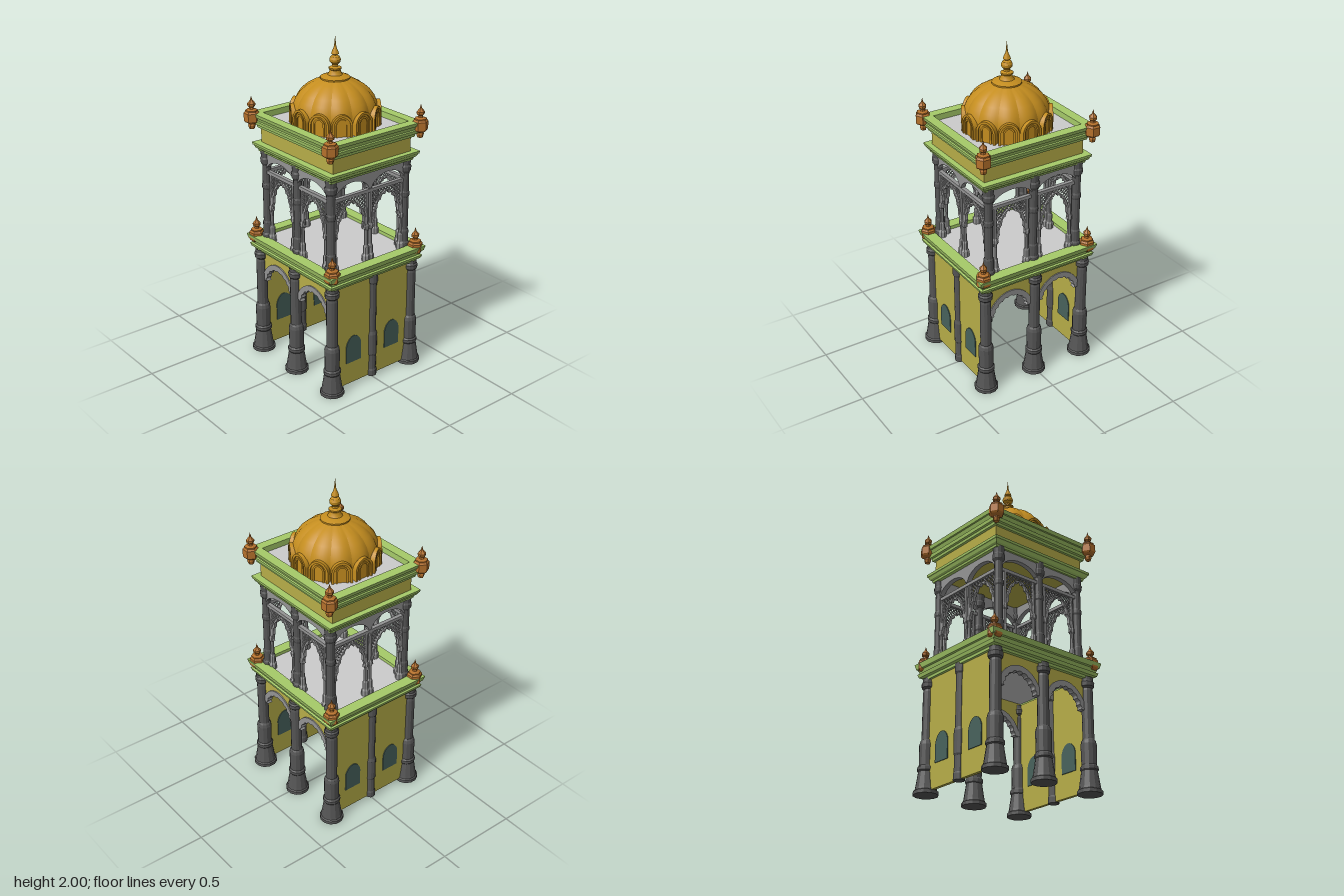
import * as THREE from 'three';
import { mergeGeometries, toCreasedNormals } from 'three/addons/utils/BufferGeometryUtils.js';

const mat = (color, flatShading = true) =>
  new THREE.MeshStandardMaterial({ color, flatShading, side: THREE.DoubleSide });
const GREY = mat(0xcccccc), DARK = mat(0x555555), SCREEN = mat(0x949494), GREEN = mat(0xa6cb69),
  YELLOW = mat(0xb6ad48), GOLD = mat(0xc48d1f, false), ORANGE = mat(0xb5712c), TEAL = mat(0x48625c);

function add(parent, name, geo, material, x = 0, y = 0, z = 0, ry = 0) {
  const m = new THREE.Mesh(geo, material);
  m.name = name;
  m.position.set(x, y, z);
  m.rotation.y = ry;
  parent.add(m);
  return m;
}
const box = (w, h, d) => new THREE.BoxGeometry(w, h, d);
const lathe = (pts, sides, start = 0) =>
  new THREE.LatheGeometry(pts.map(([r, y]) => new THREE.Vector2(r, y)), sides, start);

// Moulding profile swept round a rectangle: a four-sided lathe pulled apart to its inner half sizes
function moulding(profile, hx, hz) {
  const g = lathe(profile.map(([o, y]) => [(o + 0.001) * Math.SQRT2, y]), 4, Math.PI / 4).toNonIndexed();
  const p = g.attributes.position;
  for (let i = 0; i < p.count; i++) {
    p.setX(i, p.getX(i) + Math.sign(p.getX(i)) * hx);
    p.setZ(i, p.getZ(i) + Math.sign(p.getZ(i)) * hz);
  }
  g.computeVertexNormals();
  return g;
}

// Arch outline from left to right, with optional lobes cut into it
function arch(w, h, y0, lobes = 0, depth = 0) {
  const pts = [], n = lobes ? lobes * 6 : 20;
  for (let i = 0; i <= n; i++) {
    const a = Math.PI * (1 - i / n), k = 1 + depth * Math.abs(Math.sin(lobes * a));
    pts.push(new THREE.Vector2(w * k * Math.cos(a), y0 + h * k * Math.pow(Math.max(0, Math.sin(a)), 1.2)));
  }
  return pts;
}
function plate(pts, depth) {
  const g = new THREE.ExtrudeGeometry(new THREE.Shape(pts), { depth, bevelEnabled: false });
  return g.translate(0, 0, -depth / 2);
}
const spandrel = (hw, top, w, h, y0, depth) => plate([
  new THREE.Vector2(hw, top), new THREE.Vector2(-hw, top), new THREE.Vector2(-hw, y0),
  ...arch(w, h, y0), new THREE.Vector2(hw, y0)], depth);
const archBand = (w, h, y0, t, lobes, depth) =>
  plate([...arch(w, h, y0), ...arch(w - t, h - t, y0, lobes, 0.08).reverse()], depth);

// Diagonal lattice filling the space between an arch and the rail above
function lattice(hw, h, y0, top) {
  const bars = [];
  const inside = (x, y) => Math.abs(x) < hw && y > y0 + h * Math.pow(1 - (x / hw) ** 2, 0.6);
  for (const s of [-1, 1]) for (let x0 = -hw - 0.2; x0 < hw + 0.2; x0 += 0.024) {
    let a = -1, b = -1;
    for (let u = 0; u < 0.25; u += 0.002) {
      if (inside(x0 + s * u, top - u)) { if (a < 0) a = u; b = u; }
      else if (a >= 0) break;
    }
    if (b - a < 0.008) continue;
    const g = box((b - a) * Math.SQRT2, 0.005, 0.006).rotateZ(-s * Math.PI / 4);
    bars.push(g.translate(x0 + s * (a + b) / 2, top - (a + b) / 2, 0));
  }
  return mergeGeometries(bars);
}

// One open bay of the upper storey, facing z
function screenBay(hw, plateHalf) {
  const g = new THREE.Group();
  g.name = 'screenBay';
  const post = lathe([[0.024, 0.75], [0.024, 0.785], [0.017, 0.795], [0.017, 0.84], [0.011, 0.85],
    [0.011, 0.94], [0.017, 0.95], [0.017, 0.97], [0.011, 0.98], [0.011, 1.18]], 8);
  for (const s of [-1, 1]) add(g, 'screenPost', post, SCREEN, s * hw, 0, 0);
  add(g, 'rail', box(plateHalf * 2, 0.02, 0.024), SCREEN, 0, 1.18, 0);
  add(g, 'lattice', lattice(hw, 0.2, 0.95, 1.175), SCREEN);
  add(g, 'screenArch', archBand(hw, 0.2, 0.95, 0.02, 9, 0.018), SCREEN);
  add(g, 'archPlate', spandrel(plateHalf, 1.31, plateHalf - 0.015, 0.07, 1.195, 0.03), SCREEN);
  return g;
}

export function createModel() {
  const model = new THREE.Group();
  model.name = 'domedPavilion';
  const signs = [-1, 1];

  // Ground storey: six columns and two half-buried side columns
  const column = lathe([[0, 0], [0.071, 0], [0.071, 0.02], [0.063, 0.025], [0.06, 0.04], [0.046, 0.13],
    [0.051, 0.137], [0.051, 0.155], [0.043, 0.165], [0.045, 0.285], [0.04, 0.305], [0.033, 0.315], [0.033, 0.6],
    [0.03, 0.615], [0.041, 0.625], [0.043, 0.65], [0.036, 0.66], [0.036, 0.68]], 12, Math.PI / 12);
  const sideColumn = lathe([[0, 0.015], [0.032, 0.015], [0.032, 0.05], [0.028, 0.06], [0.028, 0.15], [0.032, 0.16],
    [0.032, 0.29], [0.026, 0.31], [0.026, 0.62], [0.032, 0.63], [0.032, 0.68]], 12);
  for (const s of signs) {
    for (const x of [-0.335, 0, 0.335]) add(model, 'lowerColumn', column, DARK, x, 0, s * 0.295);
    add(model, 'sideColumn', sideColumn, DARK, s * 0.337, 0, 0);
  }

  // Side walls with niches, front and back arcades
  const niche = [new THREE.Vector2(-0.055, 0.16), ...arch(0.055, 0.065, 0.265), new THREE.Vector2(0.055, 0.16)];
  for (const s of signs) {
    add(model, 'sideWall', box(0.02, 0.66, 0.54), YELLOW, s * 0.335, 0.35, 0);
    for (const t of signs) {
      add(model, 'window', plate(niche, 0.03), TEAL, s * 0.335, 0, t * 0.145, Math.PI / 2);
      add(model, 'spandrelWall', spandrel(0.165, 0.69, 0.15, 0.135, 0.48, 0.02), YELLOW, t * 0.1675, 0, s * 0.285);
      add(model, 'cuspedArch', archBand(0.15, 0.14, 0.48, 0.04, 9, 0.034), SCREEN, t * 0.1675, 0, s * 0.285);
    }
  }

  // Floor slab and lower cornice
  add(model, 'upperFloor', box(0.7, 0.06, 0.61), GREY, 0, 0.72, 0);
  add(model, 'lowerCornice', moulding([[0, 0.67], [0.03, 0.67], [0.032, 0.685], [0.048, 0.69], [0.055, 0.71],
    [0.045, 0.715], [0.052, 0.735], [0.06, 0.74], [0.068, 0.77], [0, 0.77], [0, 0.67]], 0.33, 0.285), GREEN);

  // Upper storey: columns and lattice screens
  const upperColumn = lathe([[0, 0.75], [0.035, 0.75], [0.035, 0.785], [0.029, 0.795], [0.029, 0.86], [0.025, 0.87],
    [0.025, 1.07], [0.029, 1.08], [0.029, 1.1], [0.025, 1.11], [0.025, 1.22], [0.034, 1.235], [0.036, 1.26],
    [0.031, 1.27], [0.034, 1.31]], 12, Math.PI / 12);
  for (const s of signs) {
    for (const x of [-0.295, 0, 0.295]) add(model, 'upperColumn', upperColumn, DARK, x, 0, s * 0.27);
    for (const t of signs) {
      const front = screenBay(0.105, 0.147);
      front.position.set(t * 0.147, 0, s * 0.27);
      const side = screenBay(0.115, 0.135);
      side.position.set(s * 0.295, 0, t * 0.13);
      side.rotation.y = Math.PI / 2;
      model.add(front, side);
    }
  }

  // Entablature, upper cornices and roof
  add(model, 'entablature', box(0.65, 0.15, 0.56), YELLOW, 0, 1.385, 0);
  add(model, 'middleCornice', moulding([[0, 1.3], [0.035, 1.3], [0.038, 1.312], [0.048, 1.32], [0.055, 1.335],
    [0.06, 1.338], [0.062, 1.353], [0, 1.353], [0, 1.3]], 0.295, 0.26), GREEN);
  add(model, 'upperCornice', moulding([[0, 1.44], [0.025, 1.44], [0.028, 1.455], [0.038, 1.46], [0.042, 1.48],
    [0.036, 1.485], [0.045, 1.505], [0.052, 1.508], [0.058, 1.53], [0, 1.53], [0, 1.44]], 0.315, 0.268), GREEN);
  add(model, 'roof', box(0.64, 0.04, 0.545), GREY, 0, 1.475, 0);

  // Six-sided corner finials on both cornices
  const finial = lathe([[0, 1.43], [0.016, 1.435], [0.022, 1.455], [0.018, 1.465], [0.038, 1.475], [0.045, 1.485],
    [0.045, 1.53], [0.036, 1.54], [0.036, 1.547], [0.015, 1.553], [0.012, 1.562], [0.022, 1.57], [0.024, 1.585],
    [0.014, 1.597], [0.007, 1.605], [0, 1.63]], 6, Math.PI / 2);
  for (const sx of signs) for (const sz of signs) {
    add(model, 'upperFinial', finial, ORANGE, sx * 0.355, 0, sz * 0.322);
    add(model, 'lowerFinial', finial, ORANGE, sx * 0.355, -0.745, sz * 0.31);
  }

  // Dome of twelve lobes
  const dome = lathe([[0.232, 1.49], [0.24, 1.53], [0.243, 1.57], [0.238, 1.61], [0.222, 1.65], [0.197, 1.685],
    [0.163, 1.715], [0.12, 1.74], [0.075, 1.757]], 96);
  const p = dome.attributes.position;
  for (let i = 0; i < p.count; i++) {
    const k = 0.95 + 0.05 * Math.abs(Math.cos(6 * Math.atan2(p.getX(i), p.getZ(i))));
    p.setX(i, p.getX(i) * k);
    p.setZ(i, p.getZ(i) * k);
  }
  add(model, 'dome', toCreasedNormals(dome, 0.35), GOLD);

  // Ring of arched petals round the foot of the dome
  const outline = (w, top) => [new THREE.Vector2(-w, 1.49), ...arch(w, top - 1.56, 1.56), new THREE.Vector2(w, 1.49)];
  const petal = mergeGeometries([
    plate(outline(0.058, 1.622), 0.024).translate(0, 0, 0.232),
    plate([...outline(0.058, 1.622), ...outline(0.045, 1.608).reverse()], 0.01).translate(0, 0, 0.249),
    plate([...outline(0.034, 1.597), ...outline(0.024, 1.587).reverse()], 0.008).translate(0, 0, 0.247)]);
  for (let i = 0; i < 12; i++) add(model, 'domePetal', petal, GOLD, 0, 0, 0, i * Math.PI / 6);

  // Crowning spire
  const spire = lathe([[0.06, 1.748], [0.084, 1.757], [0.084, 1.765], [0.06, 1.775], [0.042, 1.778], [0.034, 1.79],
    [0.03, 1.805], [0.036, 1.81], [0.036, 1.818], [0.018, 1.825], [0.016, 1.835], [0.03, 1.85], [0.032, 1.865],
    [0.025, 1.88], [0.012, 1.888], [0.022, 1.895], [0.018, 1.908], [0.01, 1.925], [0.006, 1.94], [0.004, 1.96],
    [0, 2]], 16);
  add(model, 'spire', toCreasedNormals(spire, 0.5), GOLD);
  return model;
}
